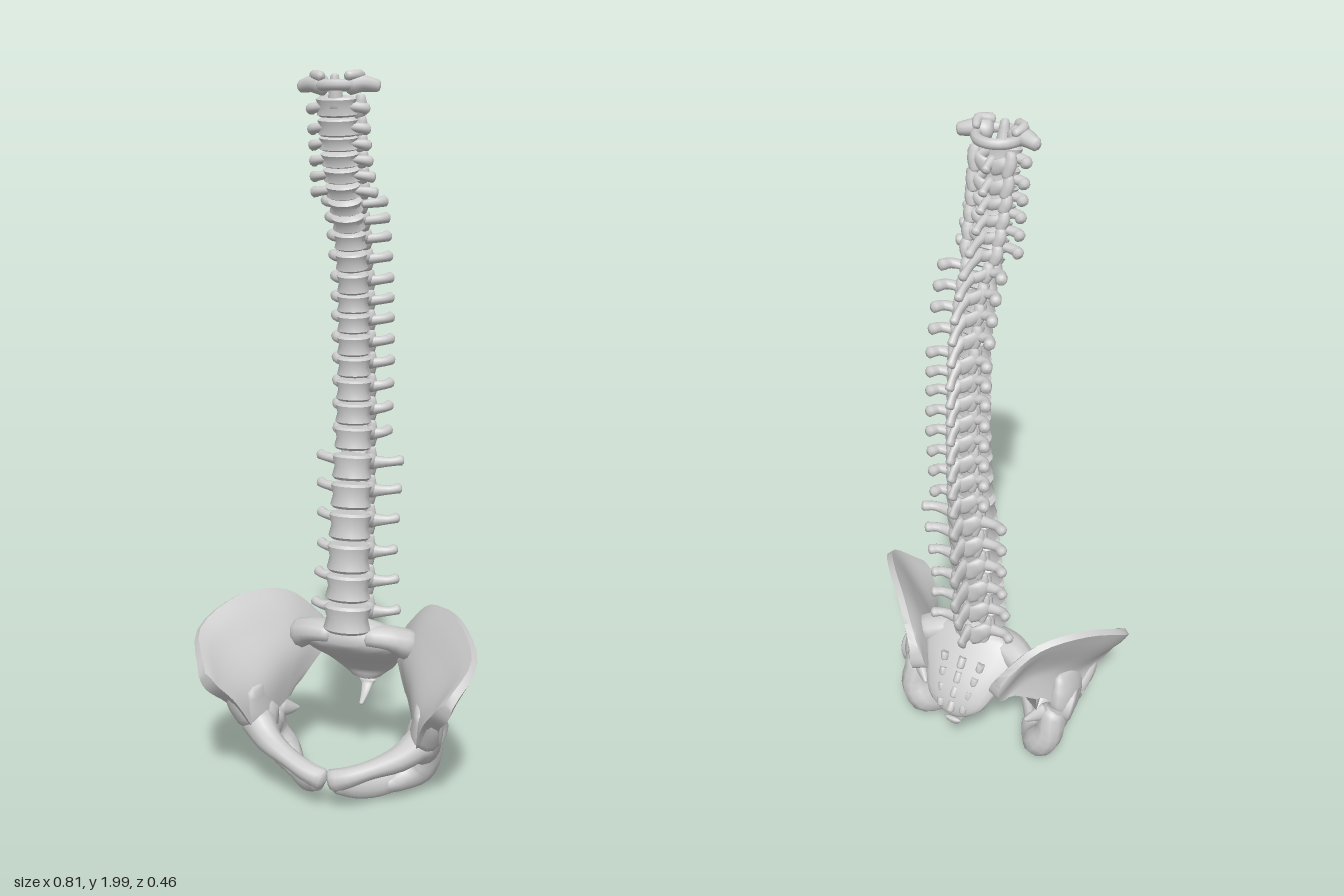
import * as THREE from 'three';
import { toCreasedNormals } from 'three/addons/utils/BufferGeometryUtils.js';

const V = (a) => new THREE.Vector3(a[0], a[1], a[2]);
const spline = (pts) => new THREE.CatmullRomCurve3(pts, false, 'catmullrom', 0.5);

function indexed(pos, idx) {
  const g = new THREE.BufferGeometry();
  g.setAttribute('position', new THREE.Float32BufferAttribute(pos, 3));
  g.setIndex(idx);
  g.computeVertexNormals();
  return g;
}

// Rounded limb through points [x, y, z, halfWidth, halfHeight]
function limb(points, up = [0, 1, 0], sides = 10, steps = 3) {
  const path = spline(points.map(V)), size = spline(points.map((p) => new THREE.Vector3(p[3], p[4] ?? p[3], 0)));
  const n = (points.length - 1) * steps, rings = [];
  for (let i = 0; i <= n; i++) rings.push([i / n, 1, 0]);
  rings.unshift([0, 0.01, -0.5], [0, 0.7, -0.35]);
  rings.push([1, 0.7, 0.35], [1, 0.01, 0.5]);
  const pos = [], idx = [];
  rings.forEach(([u, k, out], i) => {
    const t = path.getTangent(u), r = size.getPoint(u);
    const side = new THREE.Vector3().crossVectors(t, V(up)).normalize();
    const nrm = new THREE.Vector3().crossVectors(side, t);
    const c = path.getPoint(u).addScaledVector(t, out * Math.min(r.x, r.y));
    for (let j = 0; j < sides; j++) {
      const a = (j / sides) * Math.PI * 2;
      const p = c.clone().addScaledVector(side, Math.cos(a) * r.x * k).addScaledVector(nrm, Math.sin(a) * r.y * k);
      pos.push(p.x, p.y, p.z);
      if (i < rings.length - 1) {
        const A = i * sides + j, B = i * sides + ((j + 1) % sides);
        idx.push(A, A + sides, B, B, A + sides, B + sides);
      }
    }
  });
  return indexed(pos, idx);
}

// Curved plate of given half thickness over a grid of control points
function plate(grid, thick, nu = 16, nv = 12) {
  const rows = grid.map((r) => spline(r.map(V)));
  const at = (u, v) => spline(rows.map((c) => c.getPoint(u))).getPoint(v);
  const pos = [], idx = [], w = 2 * (nu + 1), e = 0.01;
  for (let i = 0; i <= nv; i++) {
    const front = [], back = [], v = i / nv;
    for (let j = 0; j <= nu; j++) {
      const u = j / nu, p = at(u, v);
      const du = at(Math.min(1, u + e), v).sub(at(Math.max(0, u - e), v));
      const dv = at(u, Math.min(1, v + e)).sub(at(u, Math.max(0, v - e)));
      const n = du.cross(dv).normalize(), t = thick(u, v);
      front.push(p.clone().addScaledVector(n, t));
      back.unshift(p.clone().addScaledVector(n, -t));
    }
    [...front, ...back].forEach((p) => pos.push(p.x, p.y, p.z));
    if (i < nv) for (let k = 0; k < w; k++) {
      const A = i * w + k, B = i * w + ((k + 1) % w);
      idx.push(A, B, A + w, B, B + w, A + w);
    }
  }
  for (let j = 0; j < nu; j++) {
    const F = j, G = j + 1, B = w - 1 - j, C = w - 2 - j, o = nv * w;
    idx.push(F, B, G, G, B, C, o + F, o + G, o + B, o + G, o + C, o + B);
  }
  return toCreasedNormals(indexed(pos, idx), 1.1);
}

// Copy reflected across x = 0, with its faces turned back outward
function mirrored(geo) {
  const g = geo.index ? geo.toNonIndexed() : geo.clone();
  for (const name of ['position', 'normal']) {
    const a = g.attributes[name];
    for (let i = 0; i < a.count; i++) a.setX(i, -a.getX(i));
    for (let i = 0; i < a.count; i += 3) {
      const p = [a.getX(i + 1), a.getY(i + 1), a.getZ(i + 1)];
      a.setXYZ(i + 1, a.getX(i + 2), a.getY(i + 2), a.getZ(i + 2));
      a.setXYZ(i + 2, ...p);
    }
  }
  return g;
}

// [y, bodyZ, halfWidth, halfDepth, transverseX, spineTipZ, spineDrop, spineHalfHeight]
const KEYS = [
  [0.51, 0, 0.068, 0.052, 0.13, -0.15, 0.02, 0.026],
  [0.69, -0.015, 0.062, 0.052, 0.115, -0.19, 0.022, 0.03],
  [0.94, -0.045, 0.056, 0.047, 0.125, -0.185, 0.025, 0.027],
  [1.02, -0.055, 0.053, 0.045, 0.08, -0.185, 0.03, 0.023],
  [1.22, -0.062, 0.047, 0.043, 0.085, -0.195, 0.045, 0.016],
  [1.45, -0.052, 0.044, 0.039, 0.085, -0.192, 0.05, 0.014],
  [1.6, -0.02, 0.044, 0.034, 0.085, -0.172, 0.042, 0.013],
  [1.7, 0.035, 0.047, 0.03, 0.088, -0.12, 0.025, 0.012],
  [1.8, 0.068, 0.052, 0.029, 0.078, -0.035, 0.015, 0.011],
  [1.92, 0.09, 0.054, 0.028, 0.078, 0.003, 0.01, 0.013],
];
const LEVELS = [0.51, 0.6, 0.685, 0.775, 0.86, 0.94, 1.02, 1.09, 1.155, 1.22, 1.28, 1.34, 1.395, 1.45,
  1.51, 1.565, 1.615, 1.66, 1.7, 1.74, 1.78, 1.82, 1.86, 1.91];
function sample(y) {
  let i = 0;
  while (i < KEYS.length - 2 && y > KEYS[i + 1][0]) i++;
  const a = KEYS[i], b = KEYS[i + 1], t = (y - a[0]) / (b[0] - a[0]);
  return a.map((v, k) => v + (b[k] - v) * t);
}

export function createModel() {
  const root = new THREE.Group();
  const bone = new THREE.MeshStandardMaterial({ color: 0xcccccc });
  bone.name = 'bone grey';
  const add = (parent, name, geo) => {
    const m = new THREE.Mesh(geo, bone);
    m.name = name;
    parent.add(m);
    return m;
  };
  const pair = (parent, name, geo) => {
    add(parent, name + 'Left', geo);
    add(parent, name + 'Right', mirrored(geo));
  };
  const group = (name) => {
    const g = new THREE.Group();
    g.name = name;
    root.add(g);
    return g;
  };

  // Vertebrae: waisted body, arch, facets, transverse and spinous processes
  LEVELS.forEach((y, i) => {
    const g = group('vertebra' + (i + 1));
    const [, z, hw, hd, tx, tip, drop, sh] = sample(y);
    const gap = i < LEVELS.length - 1 ? LEVELS[i + 1] - y : 0.055;
    const h = gap * 0.44, low = y < 0.98, neck = y > 1.69, back = z - hd;
    const profile = [[0, -1], [0.86, -1], [1, -0.8], [0.88, 0], [1, 0.8], [0.86, 1], [0, 1]];
    const body = new THREE.LatheGeometry(profile.map(([r, v]) => new THREE.Vector2(r, v * h)), 18);
    body.scale(hw, 1, hd);
    const mesh = add(g, 'body', toCreasedNormals(body, 0.7));
    mesh.position.set(0, y, z);
    mesh.rotation.x = Math.atan2(sample(y + 0.03)[1] - sample(y - 0.03)[1], 0.06);
    const r = gap * 0.22, archZ = back - (neck ? 0.03 : 0.05), fx = neck ? 0.9 : 0.66;
    pair(g, 'arch', limb([[hw * 0.55, y + h * 0.3, back + 0.012, r * 0.8, r], [hw * 0.68, y + h * 0.1, back - 0.02, r, r * 1.4],
      [hw * 0.4, y - h * 0.25, (back - 0.02 + archZ) / 2 - 0.006, 0.009, gap * 0.36], [0.003, y - h * 0.5, archZ, 0.009, gap * 0.36]]));
    pair(g, 'facet', limb([[hw * fx, y + gap * 0.5, back - 0.018, 0.013, 0.009], [hw * fx, y, back - 0.022, 0.017, 0.014],
      [hw * (fx - 0.12), y - gap * 0.5, back - 0.03, 0.013, 0.01]], [0, 0, 1]));
    // neck processes reach sideways, chest ones sweep backward
    const tz = neck ? z - 0.015 : back - (low ? 0.035 : 0.052), lift = neck ? -0.006 : 0.008;
    pair(g, 'transverseProcess', limb([[hw * 0.6, y, neck ? z : back - 0.015, 0.016, r * 1.2],
      [(hw + tx) / 2, y + lift * 0.6, neck ? z - 0.005 : (tz + back) / 2, 0.014, 0.013],
      [tx - 0.005, y + lift, tz, 0.015, 0.015]]));
    add(g, 'spinousProcess', limb([[0, y - drop * 0.15, archZ + 0.008, 0.016, Math.max(sh * 1.1, gap * 0.35)],
      [0, y - drop * 0.55, (archZ + tip) / 2, 0.009, sh], [0, y - drop, tip + 0.005, 0.012, sh * 0.95]]));
  });

  // Atlas ring with side masses, and the peg it turns on
  const atlas = group('atlas');
  const ring = new THREE.TorusGeometry(0.053, 0.014, 8, 24).rotateX(Math.PI / 2).scale(1, 1, 0.95);
  add(atlas, 'ring', ring.translate(0, 1.962, 0.068));
  pair(atlas, 'sideMass', limb([[0.035, 1.962, 0.09, 0.026, 0.026], [0.065, 1.966, 0.08, 0.024, 0.022], [0.102, 1.96, 0.066, 0.015, 0.016]]));
  pair(atlas, 'upperLip', limb([[0.035, 1.983, 0.11, 0.013], [0.06, 1.987, 0.085, 0.013], [0.05, 1.982, 0.055, 0.01]]));
  add(atlas, 'peg', limb([[0, 1.91, 0.092, 0.024], [0, 1.95, 0.1, 0.017], [0, 1.985, 0.105, 0.011]], [0, 0, 1]));

  // Sacrum, its rear ridge and the tail bone
  const sacrum = group('sacrum');
  add(sacrum, 'wedge', limb([[0, 0.465, -0.02, 0.085, 0.05], [0, 0.44, -0.045, 0.155, 0.055], [0, 0.4, -0.09, 0.155, 0.05],
    [0, 0.35, -0.145, 0.12, 0.04], [0, 0.3, -0.185, 0.09, 0.028], [0, 0.26, -0.193, 0.045, 0.02]], [0, 0, 1], 20));
  pair(sacrum, 'wing', limb([[0.05, 0.45, -0.03, 0.045, 0.03], [0.11, 0.445, -0.045, 0.05, 0.035], [0.165, 0.42, -0.07, 0.045, 0.045]]));
  for (let i = 0; i < 4; i++) {
    const y = 0.42 - i * 0.04, z = -0.145 - i * 0.022;
    add(sacrum, 'ridgeBump', limb([[0, y + 0.012, z + 0.01, 0.012], [0, y - 0.012, z - 0.008, 0.012]], [0, 0, 1]));
    pair(sacrum, 'rearBump', limb([[0.06 - i * 0.007, y + 0.01, z + 0.01, 0.012], [0.057 - i * 0.007, y - 0.01, z, 0.011]], [0, 0, 1]));
  }
  add(sacrum, 'tailBone', limb([[0, 0.24, -0.205, 0.028, 0.007], [0, 0.225, -0.2, 0.018, 0.008],
    [0, 0.205, -0.175, 0.012, 0.006], [0, 0.188, -0.138, 0.006, 0.004]], [0, 0, 1]));

  // Hip bones: flared blade, hip socket, seat bone and the pubic branches
  const hips = group('hipBones');
  const blade = [
    [[0.35, 0.385, 0.228], [0.397, 0.48, 0.135], [0.325, 0.545, 0.01], [0.225, 0.535, -0.1], [0.14, 0.44, -0.18]],
    [[0.325, 0.345, 0.22], [0.345, 0.42, 0.12], [0.258, 0.46, 0], [0.185, 0.46, -0.09], [0.127, 0.39, -0.185]],
    [[0.295, 0.3, 0.185], [0.272, 0.345, 0.095], [0.212, 0.385, 0], [0.165, 0.4, -0.08], [0.125, 0.36, -0.168]],
    [[0.28, 0.26, 0.155], [0.245, 0.29, 0.085], [0.205, 0.325, 0], [0.177, 0.35, -0.05], [0.145, 0.345, -0.12]],
    [[0.27, 0.21, 0.125], [0.245, 0.21, 0.07], [0.23, 0.22, 0.02], [0.215, 0.24, -0.015], [0.205, 0.26, -0.035]],
  ];
  pair(hips, 'blade', plate(blade, (u, v) => (0.016 + 0.013 * v * v + 0.004 * (2 * u - 1) ** 4) * Math.min(1, 0.6 + 3 * v)));
  pair(hips, 'socketBody', limb([[0.245, 0.315, 0.07, 0.024, 0.07], [0.25, 0.26, 0.06, 0.04, 0.085],
    [0.245, 0.2, 0.045, 0.045, 0.08], [0.235, 0.15, 0.005, 0.042, 0.055]], [0, 0, 1], 14));
  const cup = [[0, -0.06], [0.045, -0.05], [0.064, -0.015], [0.062, 0.02], [0.054, 0.03], [0.043, 0.022], [0.025, 0.014], [0, 0.011]];
  const socket = new THREE.LatheGeometry(cup.map(([r, y]) => new THREE.Vector2(r, y)), 20);
  socket.rotateZ(-Math.PI / 2 - 0.2).rotateY(-0.25).translate(0.255, 0.21, 0.045);
  pair(hips, 'socket', socket);
  pair(hips, 'seatBone', limb([[0.235, 0.19, 0.01, 0.042, 0.055], [0.235, 0.125, -0.022, 0.044, 0.048], [0.205, 0.07, -0.025, 0.05, 0.05],
    [0.165, 0.045, 0.01, 0.036, 0.036], [0.13, 0.042, 0.06, 0.024, 0.026]], [0, 0.3, 1]));
  pair(hips, 'lowerPubicBranch', limb([[0.165, 0.045, 0.01, 0.022, 0.032], [0.12, 0.045, 0.08, 0.018, 0.029],
    [0.075, 0.062, 0.14, 0.017, 0.028], [0.03, 0.088, 0.182, 0.022, 0.026]]));
  pair(hips, 'upperPubicBranch', limb([[0.245, 0.205, 0.085, 0.05, 0.05], [0.19, 0.165, 0.13, 0.038, 0.037],
    [0.12, 0.138, 0.163, 0.03, 0.026], [0.06, 0.115, 0.182, 0.03, 0.029], [0.015, 0.1, 0.188, 0.026, 0.034]]));
  pair(hips, 'seatSpine', limb([[0.215, 0.2, -0.02, 0.022, 0.032], [0.19, 0.19, -0.045, 0.014, 0.02], [0.172, 0.185, -0.065, 0.006]]));
  pair(hips, 'frontSpine', limb([[0.287, 0.31, 0.165, 0.02], [0.283, 0.27, 0.145, 0.025], [0.265, 0.22, 0.11, 0.032]], [0, 0, 1]));
  return root;
}
